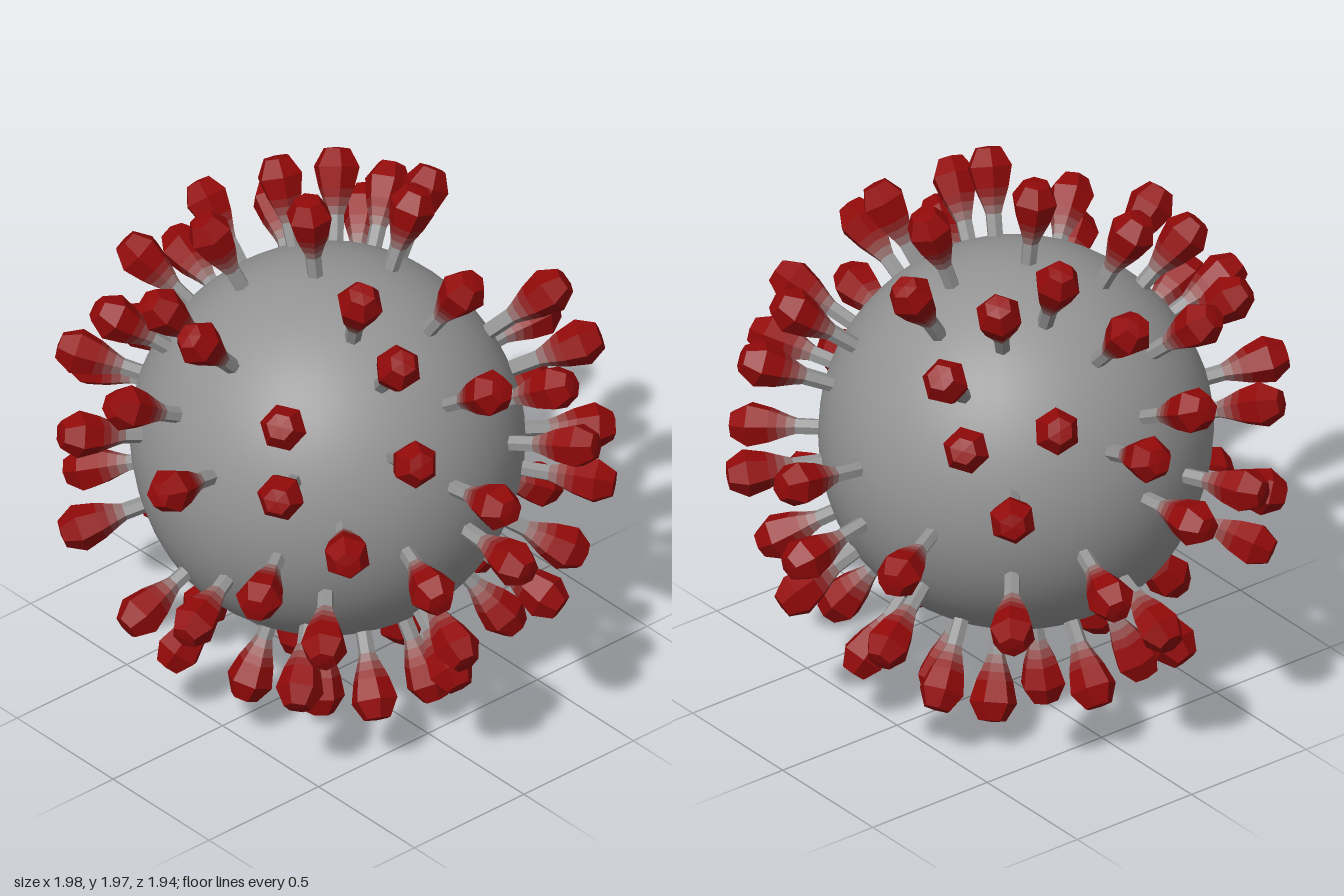
import * as THREE from 'three';

// Rings of spikes: [elevation, azimuths from the front towards +x], in degrees
const RINGS = [
  [85, [-30]],
  [71, [162]],
  [63, [-106, -44, 62]],
  [56, [-133, 110, -170]],
  [47, [2, -20, 70, -88]],
  [40, [-61, -147]],
  [35, [36, -37, 95, 147]],
  [30, [-117]],
  [26, [-10, 117, 69, -79, -139]],
  [20, [37, -95, 146]],
  [15, [10, -52]],
  [11, [-25, 118, -128, 88]],
  [7, [52, 178]],
  [2, [-85, -67]],
  [-5, [33, 92, 71, -153, 150, 129]],
  [-11, [-106, 180]],
  [-18, [16, -32, 47, -56, -128]],
  [-26, [-4, 80, 111, -90]],
  [-29, [-160, 166, 137]],
  [-38, [40, 83, -78]],
  [-50, [-14, 63, 134, 173, -152, -100]],
  [-60, [95, -136, -59]],
  [-66, [0]],
  [-72, [172, 41]],
  [-79, [-90]],
];

const BODY_RADIUS = 0.68;
const CENTRE_Y = 1;
const GREY = 0x949494;

// Smooth sphere with very gentle swellings
function bodyGeometry() {
  const geo = new THREE.SphereGeometry(BODY_RADIUS, 48, 32);
  const pos = geo.attributes.position;
  const v = new THREE.Vector3();
  for (let i = 0; i < pos.count; i++) {
    v.fromBufferAttribute(pos, i);
    const swell = Math.sin(v.x * 5 + 1) * Math.sin(v.y * 5) * Math.cos(v.z * 5);
    v.multiplyScalar(1 + 0.015 * swell);
    pos.setXYZ(i, v.x, v.y, v.z);
  }
  return geo;
}

// Six-sided piece of a spike, from [radius, height] pairs along +y
function sixSided(points) {
  return new THREE.LatheGeometry(points.map(([r, h]) => new THREE.Vector2(r, h)), 6);
}

export function createModel() {
  const model = new THREE.Group();
  model.name = 'spikedSphere';
  const material = (color, flatShading) => new THREE.MeshStandardMaterial({ color, flatShading });

  const body = new THREE.Mesh(bodyGeometry(), material(GREY, false));
  body.name = 'body';
  body.position.set(0, CENTRE_Y, 0.02);
  model.add(body);

  // Pieces of one spike, shading from grey stem to red head
  const pieces = [
    ['stem', [[0.028, 0.63], [0.03, 0.76]], GREY],
    ['lowerNeck', [[0.03, 0.76], [0.04, 0.79]], 0x94706e],
    ['middleNeck', [[0.04, 0.79], [0.052, 0.82]], 0x934a48],
    ['upperNeck', [[0.052, 0.82], [0.064, 0.85]], 0x922424],
    ['head', [[0.064, 0.85], [0.083, 0.925], [0.048, 0.988], [0, 0.993]], 0x920909],
  ].map(([name, points, color]) => ({ name, geo: sixSided(points), mat: material(color, true) }));

  // Spikes standing straight out from the body
  const up = new THREE.Vector3(0, 1, 0);
  for (const [elevation, azimuths] of RINGS) {
    for (const azimuth of azimuths) {
      const spike = new THREE.Group();
      spike.name = 'spike';
      for (const { name, geo, mat } of pieces) {
        const mesh = new THREE.Mesh(geo, mat);
        mesh.name = name;
        spike.add(mesh);
      }
      const direction = new THREE.Vector3().setFromSphericalCoords(
        1, THREE.MathUtils.degToRad(90 - elevation), THREE.MathUtils.degToRad(azimuth));
      spike.position.y = CENTRE_Y;
      spike.quaternion.setFromUnitVectors(up, direction);
      model.add(spike);
    }
  }
  return model;
}
